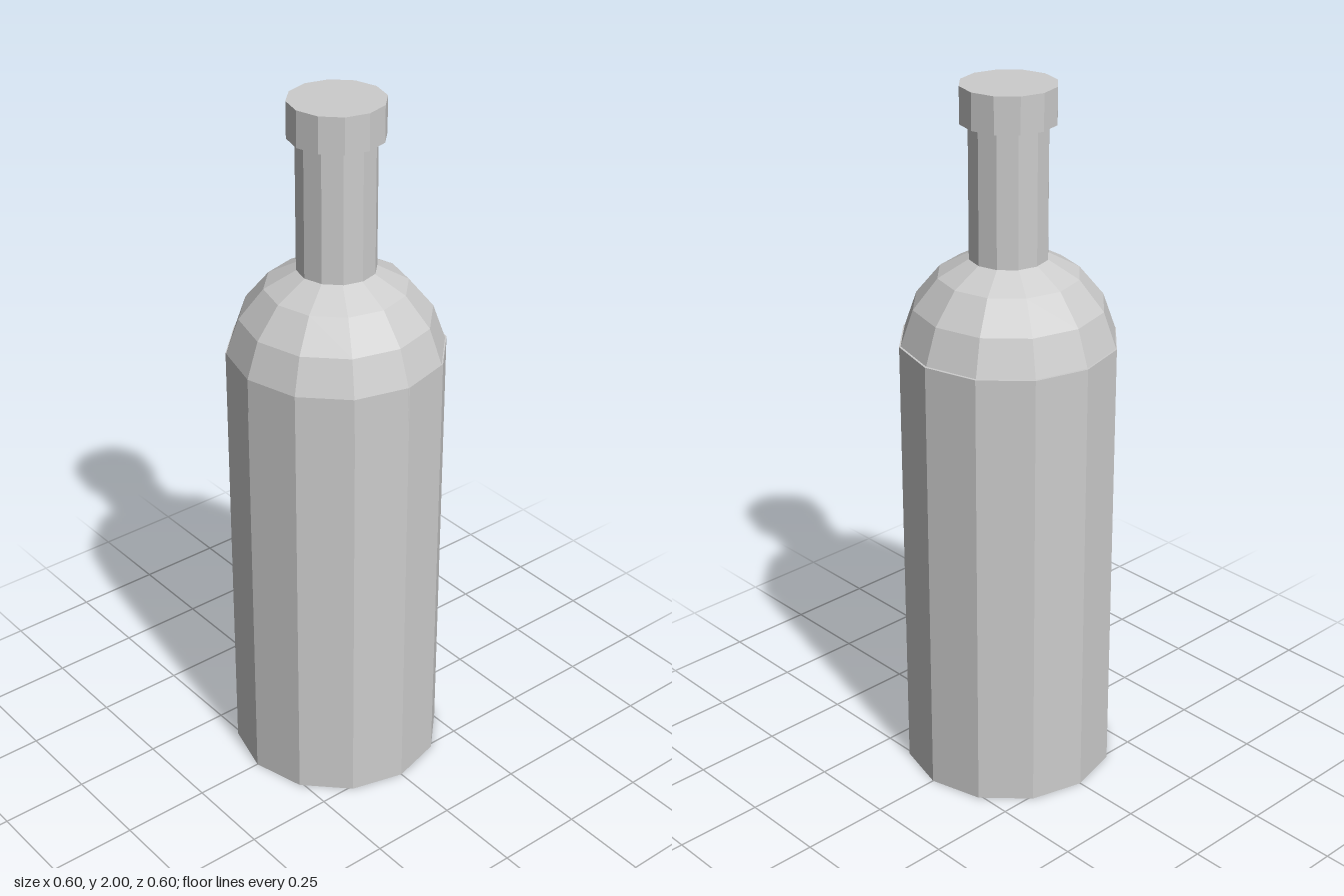
import * as THREE from 'three';

export function createModel() {
  const bottle = new THREE.Group();
  bottle.name = 'bottle';
  const grey = new THREE.MeshStandardMaterial({ color: 0xcccccc, flatShading: true });
  grey.name = 'grey';
  const SIDES = 12;

  function add(name, geometry, x, y, z) {
    const mesh = new THREE.Mesh(geometry, grey);
    mesh.name = name;
    mesh.position.set(x, y, z);
    bottle.add(mesh);
  }

  // Twelve-sided drum standing between two heights
  function drum(name, radius, bottom, top, x = 0, z = 0) {
    const height = top - bottom;
    add(name, new THREE.CylinderGeometry(radius, radius, height, SIDES), x, bottom + height / 2, z);
  }

  drum('body', 0.3, 0, 1.3);

  // Faceted dome, set slightly off centre, with a skirt inside the body
  const profile = [[0.297, 1.2], [0.297, 1.3], [0.262, 1.4], [0.194, 1.484], [0.1, 1.536], [0, 1.54]]
    .map(([r, y]) => new THREE.Vector2(r, y));
  add('shoulder', new THREE.LatheGeometry(profile, SIDES), -0.004, 0, 0.003);

  drum('neck', 0.108, 1.525, 1.9, -0.002, 0.002);
  drum('cap', 0.13, 1.9, 2);

  return bottle;
}
